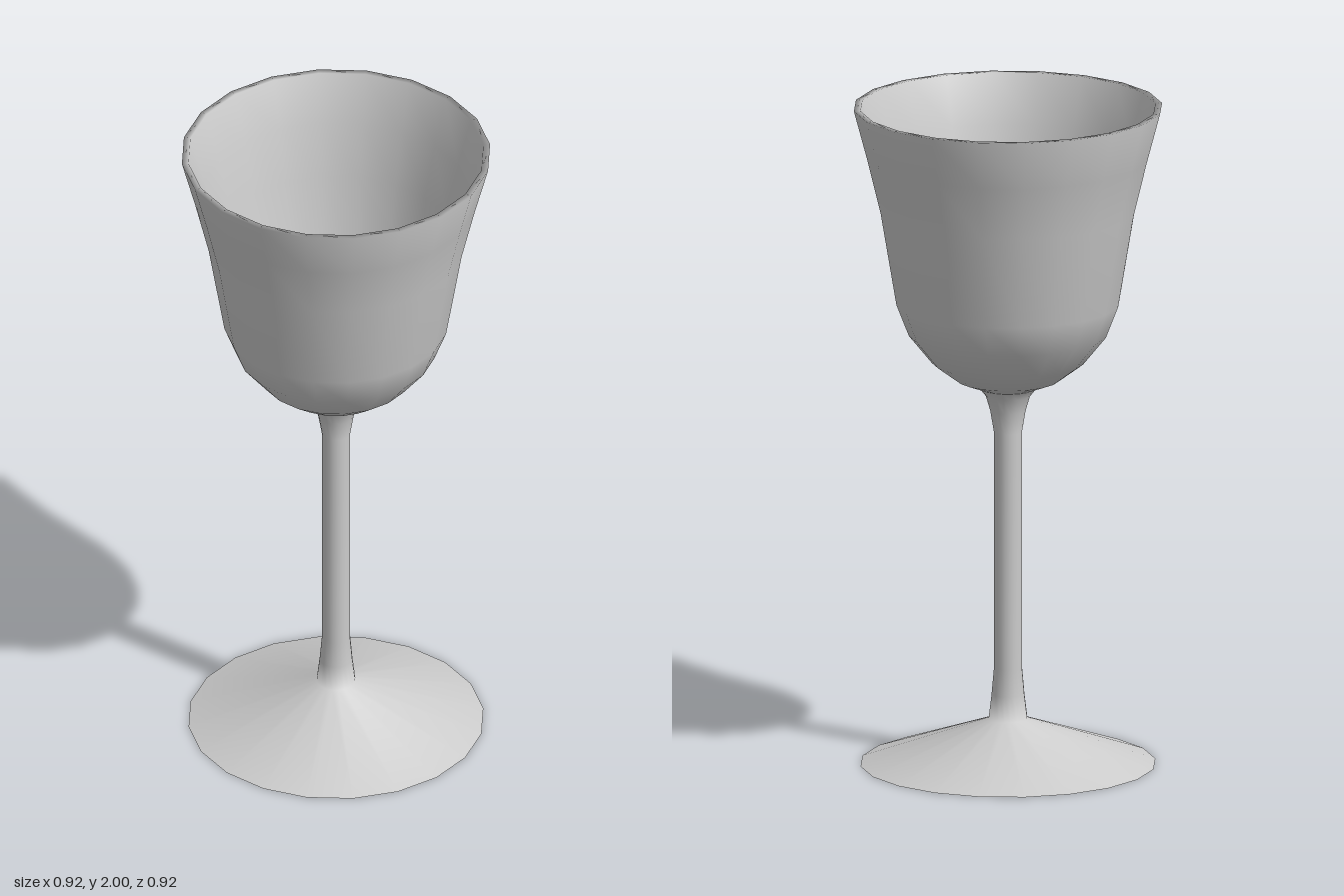
import * as THREE from 'three';

const SIDES = 20;
const material = new THREE.MeshStandardMaterial({ color: 0xcccccc });

// Smooth turned part from [radius, height] pairs
function turned(name, profile) {
  const points = profile.map(([r, y]) => new THREE.Vector2(r, y));
  const mesh = new THREE.Mesh(new THREE.LatheGeometry(points, SIDES), material);
  mesh.name = name;
  return mesh;
}

export function createModel() {
  const group = new THREE.Group();
  group.name = 'goblet';

  // Flat underside of the foot
  const base = new THREE.Mesh(new THREE.CircleGeometry(0.44, SIDES), material);
  base.name = 'footUnderside';
  base.rotation.x = Math.PI / 2;
  group.add(base);

  // Conical foot flowing into the slender stem, flared at both ends
  group.add(turned('footAndStem', [
    [0.44, 0], [0.058, 0.135], [0.049, 0.21], [0.042, 0.29],
    [0.042, 1.01], [0.053, 1.075], [0.066, 1.12], [0.085, 1.144],
  ]));

  // Bowl: outer wall upwards, over the rim, then the inner wall down
  group.add(turned('bowl', [
    [0.085, 1.144], [0.153, 1.17], [0.227, 1.225], [0.296, 1.31], [0.333, 1.405],
    [0.38, 1.685], [0.42, 1.85], [0.46, 2],
    [0.44, 2], [0.398, 1.85], [0.358, 1.685], [0.311, 1.41], [0.276, 1.322],
    [0.213, 1.245], [0.145, 1.195], [0.075, 1.175], [0, 1.168],
  ]));

  return group;
}
